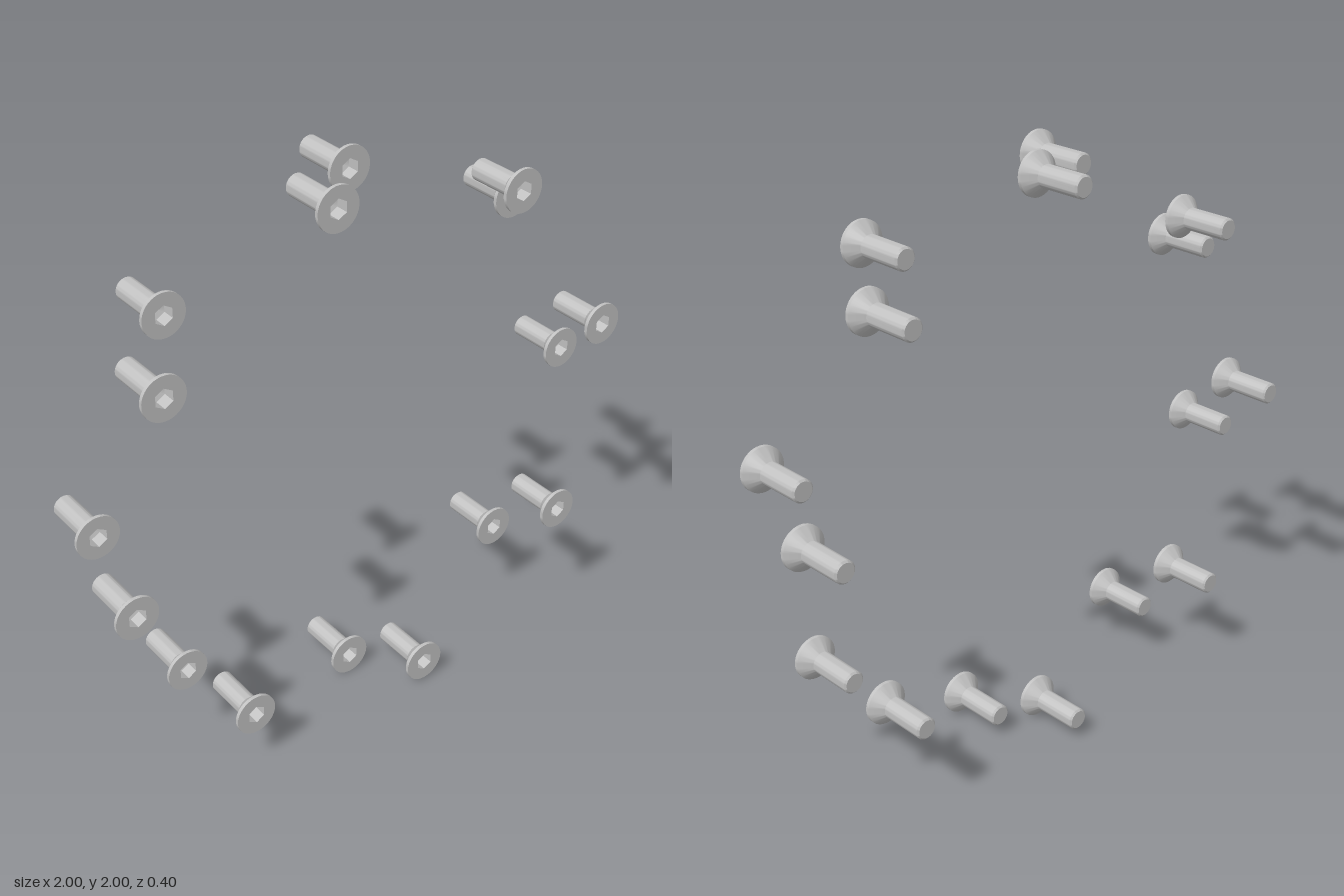
import * as THREE from 'three';
import { toCreasedNormals } from 'three/addons/utils/BufferGeometryUtils.js';

const HEAD_R = 0.073, SHANK_R = 0.037, LENGTH = 0.21, SOCKET_R = 0.033;

// Profile of [radius, z] pairs turned around the z axis, with sharp edges kept
function turned(profile, segments) {
  const points = profile.map(([r, z]) => new THREE.Vector2(r, z));
  const geometry = new THREE.LatheGeometry(points, segments).rotateX(Math.PI / 2);
  return toCreasedNormals(geometry, 0.5);
}

// Flat annular front of the head with a hexagonal opening
function headFace() {
  const shape = new THREE.Shape().absarc(0, 0, HEAD_R, 0, Math.PI * 2);
  const hex = [];
  for (let i = 0; i < 6; i++) {
    const a = Math.PI / 2 + i * Math.PI / 3;
    hex.push(new THREE.Vector2(SOCKET_R * Math.cos(a), SOCKET_R * Math.sin(a)));
  }
  shape.holes.push(new THREE.Path(hex));
  return new THREE.ShapeGeometry(shape, 24);
}

export function createModel() {
  const steel = new THREE.MeshStandardMaterial({ color: 0xc0c0c0 });
  steel.name = 'steel grey';

  const parts = {
    // Chamfered tip, shank, countersunk cone and thin rim
    screwBody: turned([
      [0, -LENGTH], [SHANK_R - 0.006, -LENGTH], [SHANK_R, -LENGTH + 0.006],
      [SHANK_R, -0.048], [HEAD_R, -0.012], [HEAD_R, 0],
    ], 48),
    screwFace: headFace(),
    // Hexagonal drive recess with a shallow pointed floor
    hexSocket: turned([[SOCKET_R, 0], [SOCKET_R, -0.045], [0, -0.06]], 6),
  };

  const model = new THREE.Group();
  model.name = 'screwRings';

  // Eight screws evenly spaced on a ring
  function addRing(name, radius, startDegrees, z) {
    const ring = new THREE.Group();
    ring.name = name;
    for (let i = 0; i < 8; i++) {
      const a = THREE.MathUtils.degToRad(startDegrees) + i * Math.PI / 4;
      const screw = new THREE.Group();
      screw.name = 'screw';
      for (const [partName, geometry] of Object.entries(parts)) {
        const mesh = new THREE.Mesh(geometry, steel);
        mesh.name = partName;
        screw.add(mesh);
      }
      screw.position.set(radius * Math.cos(a), 1 + radius * Math.sin(a), z);
      ring.add(screw);
    }
    model.add(ring);
  }

  addRing('backRing', 0.927, 0, 0.01);
  addRing('frontRing', 0.939, 11.25, 0.2);
  return model;
}
